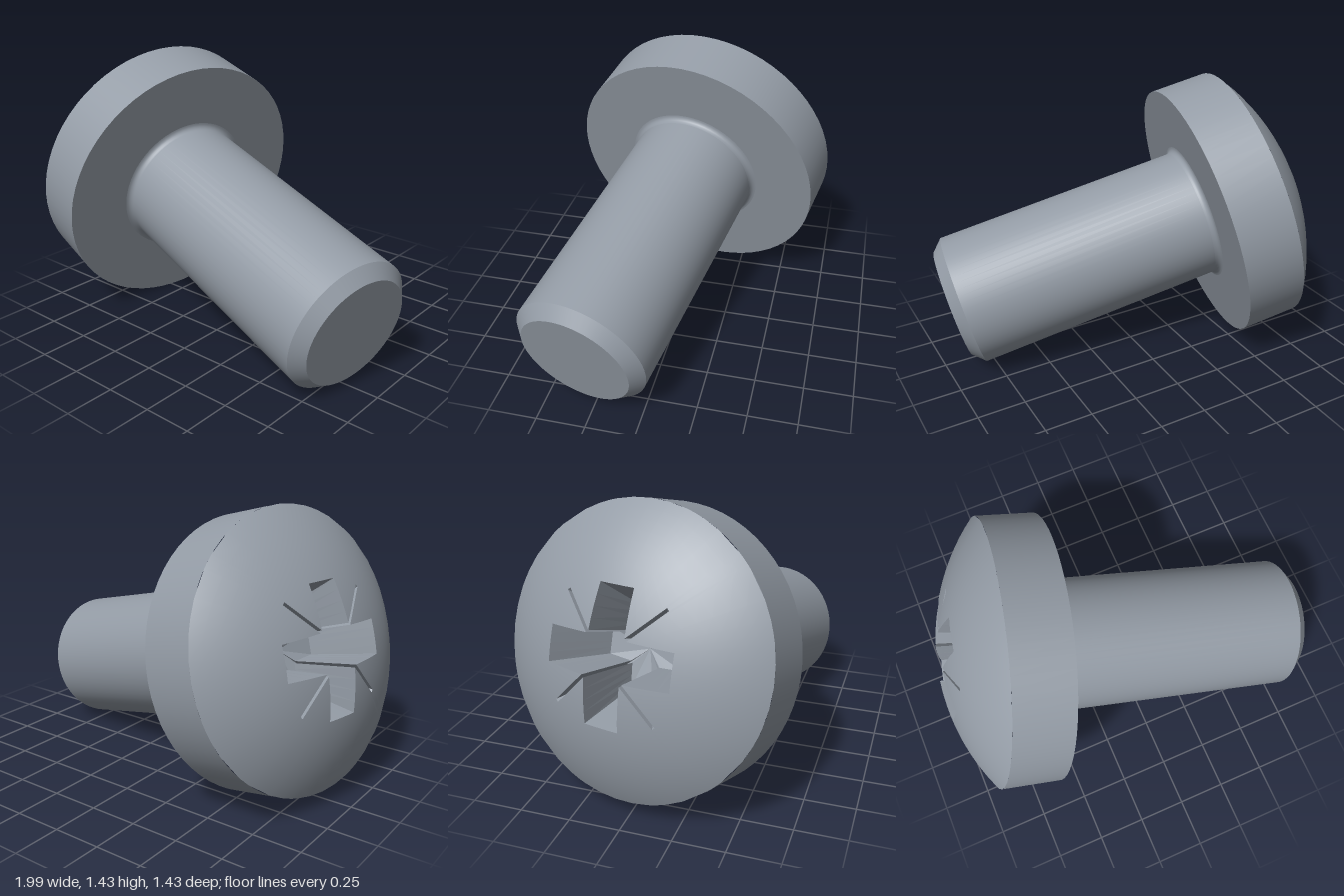
import * as THREE from 'three';

// Main sizes, in the screw's own frame: axis along y, underside of the head at y = 0
const HEAD_R = 0.7, SHAFT_R = 0.35, LENGTH = 1.4, CHAMFER = 0.06, FILLET = 0.03;
const RIM_Y = 0.302, DOME_R = 1.1375, RECESS_DEPTH = 0.36;
const SPHERE_Y = RIM_Y - Math.sqrt(DOME_R ** 2 - HEAD_R ** 2);
const APEX_Y = SPHERE_Y + DOME_R;

const domeHeight = (x, z) => SPHERE_Y + Math.sqrt(DOME_R ** 2 - x * x - z * z);

// Faces between successive rings of points, each ring closed
function loft(rings) {
  const tris = [];
  const tri = (a, b, c) => {
    if (new THREE.Triangle(a, b, c).getArea() > 1e-9) tris.push(a, b, c);
  };
  for (let k = 0; k + 1 < rings.length; k++) {
    const a = rings[k], b = rings[k + 1];
    for (let i = 0; i < a.length; i++) {
      const j = (i + 1) % a.length;
      tri(a[i], a[j], b[i]);
      tri(a[j], b[j], b[i]);
    }
  }
  const geometry = new THREE.BufferGeometry().setFromPoints(tris);
  geometry.computeVertexNormals();
  return geometry;
}

// Cross outline with four wide arms and a thin slit in each corner
function crossOutline(armR, armHalf, corner, slitR, slitHalf) {
  const s = slitHalf / Math.SQRT2, t = slitR / Math.SQRT2;
  const quadrant = [
    [armR, -armHalf, 4], [armR, armHalf, 4],
    [corner + s, corner - s, 1], [t + s, t - s, 1],
    [t - s, t + s, 1], [corner - s, corner + s, 4],
  ];
  const corners = [];
  for (let q = 0; q < 4; q++) {
    const c = Math.round(Math.cos(q * Math.PI / 2)), n = Math.round(Math.sin(q * Math.PI / 2));
    for (const [x, z, steps] of quadrant) corners.push([x * c - z * n, x * n + z * c, steps]);
  }
  // Split the long edges so that the dome stays round
  return corners.flatMap(([x, z, steps], i) => {
    const [x2, z2] = corners[(i + 1) % corners.length];
    return Array.from({ length: steps }, (_, k) =>
      new THREE.Vector2(x + (x2 - x) * k / steps, z + (z2 - z) * k / steps));
  });
}

export function createModel() {
  const steel = new THREE.MeshStandardMaterial({ color: 0x949ca6 });
  steel.name = 'steel grey';
  const screw = new THREE.Group();
  screw.name = 'screw';
  const add = (name, geometry) => {
    const mesh = new THREE.Mesh(geometry, steel);
    mesh.name = name;
    screw.add(mesh);
  };
  const turned = (name, points) =>
    add(name, new THREE.LatheGeometry(points.map(p => new THREE.Vector2(...p)), 64));

  // Shank, from the flat tip up to the fillet under the head
  const tipR = SHAFT_R - CHAMFER;
  turned('shaftTip', [[0, -LENGTH], [tipR, -LENGTH]]);
  turned('shaftChamfer', [[tipR, -LENGTH], [SHAFT_R, -LENGTH + CHAMFER]]);
  turned('shaft', [[SHAFT_R, -LENGTH + CHAMFER], [SHAFT_R, -FILLET]]);
  const fillet = [];
  for (let i = 0; i <= 5; i++) {
    const a = i / 5 * Math.PI / 2;
    fillet.push([SHAFT_R + FILLET * (1 - Math.cos(a)), -FILLET * (1 - Math.sin(a))]);
  }
  turned('shaftFillet', fillet);

  // Head
  turned('headUnderside', [[SHAFT_R + FILLET, 0], [HEAD_R, 0]]);
  turned('headSide', [[HEAD_R, 0], [HEAD_R, RIM_Y]]);

  // Dome running from the recess outline out to the rim
  const outline = crossOutline(0.32, 0.087, 0.1, 0.365, 0.008);
  const rings = [];
  for (let k = 0; k <= 8; k++) {
    rings.push(outline.map(p => {
      const q = p.clone().setLength(THREE.MathUtils.lerp(p.length(), HEAD_R, k / 8));
      return new THREE.Vector3(q.x, domeHeight(q.x, q.y), q.y);
    }));
  }
  const dome = loft(rings);
  const pos = dome.attributes.position, normal = dome.attributes.normal;
  for (let i = 0; i < pos.count; i++) {
    normal.setXYZ(i, pos.getX(i) / DOME_R, (pos.getY(i) - SPHERE_Y) / DOME_R, pos.getZ(i) / DOME_R);
  }
  add('headDome', dome);

  // Drive recess, tapering to a smaller cross at its floor
  const floorY = APEX_Y - RECESS_DEPTH;
  const floor = crossOutline(0.2, 0.062, 0.075, 0.15, 0.006)
    .map(p => new THREE.Vector3(p.x, floorY, p.y));
  add('recessWalls', loft([floor, rings[0]]));
  add('recessFloor', loft([floor.map(() => new THREE.Vector3(0, floorY - 0.03, 0)), floor]));

  // Lean the screw so that it rests on the head rim and the tip
  const axis = new THREE.Vector3(-0.946, 0.251, -0.203).normalize();
  const up = new THREE.Vector3(0, 1, 0).addScaledVector(axis, -axis.y).normalize();
  const side = new THREE.Vector3().crossVectors(up, axis);
  screw.quaternion.setFromRotationMatrix(new THREE.Matrix4().makeBasis(up, axis, side));
  screw.position.set(-0.42, 0.678, 0.03);

  const model = new THREE.Group();
  model.name = 'machineScrew';
  model.add(screw);
  return model;
}
